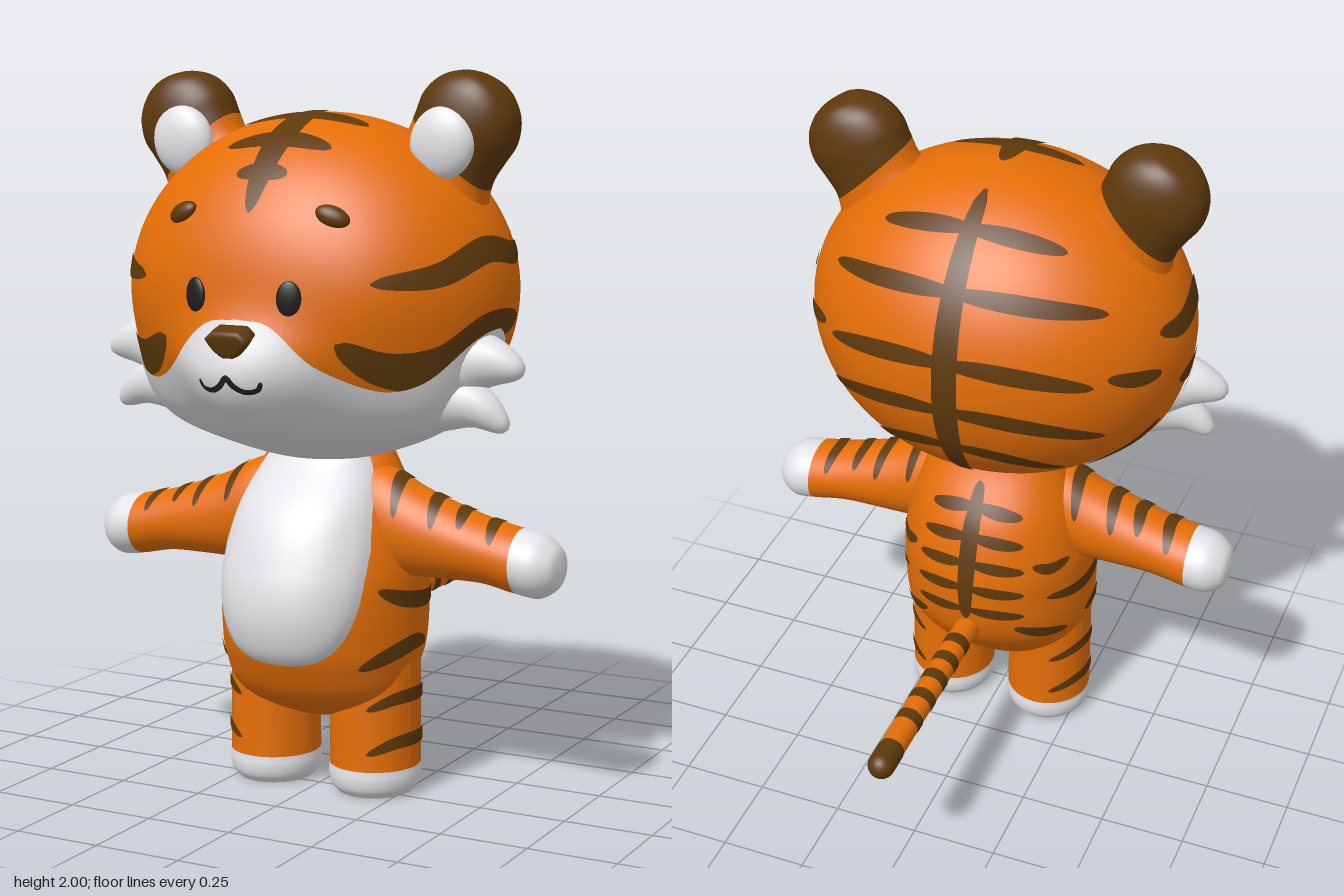
import * as THREE from 'three';
import { mergeVertices } from 'three/addons/utils/BufferGeometryUtils.js';

const V = (x, y, z) => new THREE.Vector3(x, y, z);
const { sin, cos, abs, sqrt, PI } = Math;
const bend = (u, k) => Math.sign(u) * Math.pow(abs(u), k);
const bump = (u, centre, width) => Math.exp(-(((u - centre) / width) ** 2));

// Smooth interpolation of rows [v, a, b, ...]; returns [a, b, ...] at v
function sample(rows, v) {
  const n = rows.length - 1;
  v = Math.min(Math.max(v, rows[0][0]), rows[n][0]);
  let i = 0;
  while (i < n - 1 && v > rows[i + 1][0]) i++;
  const p = rows[i], q = rows[i + 1], h = q[0] - p[0], t = (v - p[0]) / h;
  const slope = (k, c) => {
    const l = rows[Math.max(k - 1, 0)], r = rows[Math.min(k + 1, n)];
    return (r[c] - l[c]) / (r[0] - l[0]);
  };
  return p.slice(1).map((_, k) => {
    const c = k + 1, t2 = t * t, t3 = t2 * t;
    return (2 * t3 - 3 * t2 + 1) * p[c] + (t3 - 2 * t2 + t) * h * slope(i, c)
      + (3 * t2 - 2 * t3) * q[c] + (t3 - t2) * h * slope(i + 1, c);
  });
}

function smooth(g) {
  g.deleteAttribute('uv');
  g.deleteAttribute('normal');
  g = mergeVertices(g, 1e-5);
  g.computeVertexNormals();
  return g;
}

// Grid surface from P(a, v)
function skin(P, a0, a1, v0, v1, na = 48, nv = 32) {
  const pos = [], idx = [];
  for (let j = 0; j <= nv; j++) for (let i = 0; i <= na; i++)
    pos.push(...P(a0 + (a1 - a0) * i / na, v0 + (v1 - v0) * j / nv).toArray());
  for (let j = 0; j < nv; j++) for (let i = 0; i < na; i++) {
    const a = j * (na + 1) + i, b = a + 1, c = a + na + 1, d = c + 1;
    idx.push(a, b, c, b, d, c);
  }
  const g = new THREE.BufferGeometry();
  g.setAttribute('position', new THREE.Float32BufferAttribute(pos, 3));
  g.setIndex(idx);
  return smooth(g);
}

// Tapered painted stripe hugging a surface given by proj(point, offset)
function ribbon(proj, pts, half, power = 0.42, off = 0.004) {
  const curve = new THREE.CatmullRomCurve3(pts.map(p => proj(p, 0)));
  return skin((w, t) => {
    const p = curve.getPoint(t), T = curve.getTangent(t);
    const N = proj(p, 0.1).sub(proj(p, 0)).normalize();
    const k = half * Math.pow(Math.max(sin(PI * t), 0.002), power);
    return proj(p.addScaledVector(T.cross(N).normalize(), w * k), off);
  }, -1, 1, 0, 1, 4, 30);
}

// Tuft along a curve, flared at the root and rounded at the tip
function tuft(pts, R) {
  const c = new THREE.CatmullRomCurve3(pts), n = 28, m = 20;
  const g = new THREE.TubeGeometry(c, n, 1, m), pos = g.attributes.position;
  for (let k = 0; k < pos.count; k++) {
    const t = Math.floor(k / (m + 1)) / n, o = c.getPointAt(t);
    const r = R * (0.38 + 0.62 * (1 - t) ** 1.5) * sqrt(1 - t ** 5);
    const p = V().fromBufferAttribute(pos, k).sub(o).multiplyScalar(r).add(o);
    pos.setXYZ(k, p.x, p.y, p.z);
  }
  return smooth(g);
}

function mirrored(geo) {
  const g = geo.clone().scale(-1, 1, 1), ix = g.index.array;
  for (let i = 0; i < ix.length; i += 3) [ix[i], ix[i + 1]] = [ix[i + 1], ix[i]];
  return g;
}

const ball = (rx, ry, rz) => new THREE.SphereGeometry(1, 32, 20).scale(rx, ry, rz);

// Head: an ellipsoid with a muzzle bulge, fuller jaw, cheeks and temples
const C = V(0, 1.41, 0.215), HR = V(0.555, 0.475, 0.455);
function headProj(p, off = 0) {
  const d = p.clone().sub(C).normalize();
  const phi = abs(Math.atan2(d.x, d.z)), th = Math.asin(d.y);
  const bulge = 0.1 * bump(phi, 0, 0.42) * bump(th, -0.4, th > -0.4 ? 0.23 : 0.36)
    + 0.02 * Math.max(0, cos(phi)) * bump(th, -0.8, 0.3)
    + 0.04 * bump(phi, 1.2, 0.45) * bump(th, -0.62, 0.28)
    + 0.012 * bump(phi, 0.75, 0.35) * bump(th, 0, 0.4);
  return d.clone().multiplyScalar(1 / d.clone().divide(HR).length() + bulge + off).add(C);
}
const solve = (u, v) => sqrt(Math.max(0, 1 - u * u - v * v));
const hy = y => (y - C.y) / HR.y, hz = z => (z - C.z) / HR.z;
const headSide = ([z, y]) => V(HR.x * solve(hz(z), hy(y)), y, z);
const headBack = (x, y) => V(x, y, C.z - HR.z * solve(x / HR.x, hy(y)));
const headTop = (x, z) => V(x, C.y + HR.y * solve(x / HR.x, hz(z)), z);
function headFace(x, y) {
  const p = V(x, y, 0.7);
  for (let i = 0; i < 12; i++) p.z = headProj(p).z;
  return p;
}

// Body rows: height, back z, front z, half width
const bodyRows = [[0.2, 0.17, 0.25, 0], [0.22, 0.12, 0.32, 0.13], [0.28, 0.05, 0.42, 0.24], [0.38, -0.04, 0.48, 0.283],
  [0.45, -0.075, 0.5, 0.29], [0.55, -0.09, 0.51, 0.29], [0.65, -0.085, 0.49, 0.288], [0.8, -0.04, 0.42, 0.255],
  [0.93, 0.045, 0.3, 0.2], [1, 0.08, 0.26, 0.165]];
const bodyDims = y => { const [b, f, rx] = sample(bodyRows, y); return [(b + f) / 2, rx, (f - b) / 2]; };
const bodyAt = (a, y, off = 0) => {
  const [cz, rx, rz] = bodyDims(y);
  return V((rx + off) * sin(a), y, cz + (rz + off) * cos(a));
};
const bodyProj = (p, off) => {
  const [cz, rx, rz] = bodyDims(p.y);
  return bodyAt(Math.atan2(p.x / rx, (p.z - cz) / rz), p.y, off);
};

// Arm rows: x, centre y, half height, half depth
const armRows = [[0.1, 0.785, 0.14, 0.1], [0.2, 0.768, 0.15, 0.108], [0.3, 0.745, 0.125, 0.108], [0.4, 0.727, 0.105, 0.104],
  [0.5, 0.71, 0.09, 0.1], [0.6, 0.69, 0.089, 0.1], [0.66, 0.682, 0.087, 0.095], [0.7, 0.68, 0.062, 0.068],
  [0.714, 0.68, 0.038, 0.042], [0.72, 0.68, 0, 0]];
const armAt = (a, x, off = 0) => {
  const [cy, ry, rz] = sample(armRows, x);
  return V(x, cy + (ry + off) * cos(a), 0.21 + (rz + off) * sin(a));
};
const armProj = (p, off) => {
  const [cy, ry, rz] = sample(armRows, p.x);
  return armAt(Math.atan2((p.z - 0.21) / rz, (p.y - cy) / ry), p.x, off);
};

const legRows = [[0, 0.105], [0.02, 0.122], [0.05, 0.129], [0.08, 0.127], [0.2, 0.126], [0.45, 0.125]];
const legAt = (a, y, off = 0) => {
  const r = sample(legRows, y)[0] + off;
  return V(0.16 + r * sin(a), y, 0.215 + r * 1.05 * cos(a));
};
const legProj = (p, off) => legAt(Math.atan2(p.x - 0.16, (p.z - 0.215) / 1.05), p.y, off);

// Ear rows: distance along the leaning axis, radius
const earRows = [[-0.02, 0.2], [0.04, 0.155], [0.1, 0.136], [0.16, 0.14], [0.22, 0.145], [0.28, 0.122], [0.32, 0.078], [0.335, 0.04], [0.34, 0]];
const earAt = (a, s) => {
  const r = Math.max(0, sample(earRows, s)[0]), x = r * sin(a), depth = 0.337 * Math.pow(r, 0.6);
  return V(0.33 + 0.5 * s + 0.866 * x, 1.68 + 0.866 * s - 0.5 * x, 0.21 + depth * bend(cos(a), 0.85));
};
const earCut = a => 0.115 - 0.035 * sin(a);

export function createModel() {
  const root = new THREE.Group();
  const mat = (name, color) => Object.assign(new THREE.MeshStandardMaterial({ color }), { name });
  const orange = mat('orange fur', 0xe56e06), brown = mat('brown fur', 0x5e390b);
  const white = mat('white fur', 0xe4e4e8), dark = mat('dark features', 0x1e1e20);
  const add = (name, geo, m) => {
    const mesh = new THREE.Mesh(geo, m);
    mesh.name = name;
    root.add(mesh);
  };
  const pair = (name, geo, m) => {
    add(name + 'Left', geo, m);
    add(name + 'Right', mirrored(geo), m);
  };
  const TAU = 2 * PI;

  // Head and white mask
  const head = new THREE.SphereGeometry(0.5, 96, 64).translate(C.x, C.y, C.z), hp = head.attributes.position;
  for (let i = 0; i < hp.count; i++) hp.setXYZ(i, ...headProj(V().fromBufferAttribute(hp, i)).toArray());
  add('head', smooth(head), orange);
  const maskTop = [[0, -0.11], [0.2, -0.14], [0.46, -0.35], [0.78, -0.47], [1.03, -0.42], [1.31, -0.21], [1.5, -0.16], [1.58, -0.22]];
  add('muzzleMask', skin((phi, t) => {
    const th = -PI / 2 + (sample(maskTop, abs(phi))[0] + PI / 2) * t;
    return headProj(V(sin(phi) * cos(th), sin(th), cos(phi) * cos(th)).add(C), 0.007);
  }, -1.58, 1.58, 0, 1, 80, 40), white);
  pair('upperCheekTuft', tuft([V(0.42, 1.225, 0.29), V(0.54, 1.235, 0.3), V(0.645, 1.215, 0.31)], 0.125), white);
  pair('lowerCheekTuft', tuft([V(0.38, 1.14, 0.3), V(0.52, 1.115, 0.32), V(0.605, 1.06, 0.32)], 0.11), white);

  // Face
  const eye = headFace(0.14, 1.412);
  pair('eye', ball(0.034, 0.047, 0.012).rotateY(0.28).translate(eye.x, eye.y, eye.z), dark);
  const brow = headFace(0.225, 1.622);
  pair('brow', ball(0.048, 0.028, 0.022).rotateZ(-0.4).rotateX(-0.4).rotateY(0.4).translate(brow.x, brow.y, brow.z), brown);
  const tri = new THREE.Shape();
  tri.moveTo(-0.035, 0.022).lineTo(-0.047, 0.012).quadraticCurveTo(-0.035, -0.012, -0.012, -0.026);
  tri.lineTo(0.012, -0.026).quadraticCurveTo(0.035, -0.012, 0.047, 0.012).lineTo(0.035, 0.022);
  const nose = new THREE.ExtrudeGeometry(tri, { depth: 0.04, bevelSize: 0.014, bevelThickness: 0.014, bevelSegments: 5, curveSegments: 8 });
  add('nose', smooth(nose.translate(0, 0, -0.02).rotateX(0.3).translate(0, 1.302, 0.715)), brown);
  const lip = [[-0.09, 1.205], [-0.08, 1.185], [-0.05, 1.178], [-0.02, 1.192], [0, 1.213], [0.02, 1.192], [0.05, 1.178], [0.08, 1.185], [0.09, 1.205]];
  add('mouth', ribbon(headProj, lip.map(p => headFace(...p)), 0.008, 0.15, 0.01), dark);

  // Ears, with a slanted colour border
  pair('earBase', skin((a, t) => earAt(a, -0.02 + (earCut(a) + 0.02) * t), 0, TAU, 0, 1, 48, 12), orange);
  pair('ear', skin((a, t) => earAt(a, earCut(a) + (0.34 - earCut(a)) * t), 0, TAU, 0, 1, 48, 30), brown);
  pair('innerEar', ball(0.092, 0.098, 0.045).rotateZ(-0.3).translate(0.4, 1.805, 0.3), white);

  // Head stripes: forehead, back ridge with ribs, sides
  add('foreheadStripe', ribbon(headProj, [0.19, 0.3, 0.42, 0.52, 0.62].map(z => headTop(0, z)), 0.042), brown);
  for (const [z, x, w] of [[0.31, 0.19, 0.038], [0.455, 0.155, 0.035], [0.55, 0.075, 0.03]])
    add('foreheadBar', ribbon(headProj, [-x, -x / 2, 0, x / 2, x].map(u => headTop(u, z + 0.03 * abs(u))), w), brown);
  add('headRidge', ribbon(headProj, [1.86, 1.7, 1.5, 1.3, 1.15, 1.02].map(y => headBack(0, y)), 0.036, 0.3), brown);
  for (const [y, x, drop] of [[1.8, 0.26, 0.04], [1.67, 0.39, 0.05], [1.49, 0.38, 0.06], [1.34, 0.4, 0.09], [1.2, 0.28, 0.1]])
    pair('headRib', ribbon(headProj, [-0.04, 0.3, 0.65, 1].map(t => headBack(x * t, y - drop * t * t)), 0.027), brown);
  for (const [w, pts] of [
    [0.036, [[0.58, 1.45], [0.46, 1.47], [0.3, 1.53], [0.15, 1.515], [0.06, 1.53]]],
    [0.056, [[0.61, 1.3], [0.53, 1.235], [0.43, 1.24], [0.31, 1.32], [0.14, 1.345]]],
    [0.024, [[0.05, 1.415], [-0.02, 1.425], [-0.09, 1.45]]],
    [0.03, [[0.12, 1.22], [0.08, 1.13], [0.02, 1.08]]]])
    pair('headSideStripe', ribbon(headProj, pts.map(headSide), w), brown);

  // Body, belly and body stripes
  add('body', skin(bodyAt, 0, TAU, 0.2, 1, 72, 56), orange);
  add('belly', skin((t, v) => {
    const r = 1 - v, yn = r * bend(sin(t), 0.7), y = 0.71 + 0.32 * yn;
    const x = 0.224 * r * bend(cos(t), 0.7) * (1 - 0.2 * Math.max(0, yn));
    const [cz, rx, rz] = bodyDims(y), k = Math.min(0.98, abs(x) / rx);
    return V(x, y, cz + rz * sqrt(1 - k * k) + 0.046 * sqrt(Math.max(0, 1 - r ** 6)) - 0.006);
  }, 0, TAU, 0, 1, 64, 24), white);
  add('backRidge', ribbon(bodyProj, [0.92, 0.8, 0.65, 0.5].map(y => bodyAt(PI, y)), 0.026, 0.3), brown);
  for (const y of [0.86, 0.78, 0.7, 0.62, 0.54])
    pair('backRib', ribbon(bodyProj, [0.02, 0.3, 0.6].map(a => bodyAt(PI - a, y - 0.04 * a)), 0.018), brown);
  for (const [w, pts] of [
    [0.024, [[1, 0.6], [1.3, 0.57], [1.8, 0.55], [2.3, 0.57]]],
    [0.024, [[0.8, 0.385], [1.1, 0.415], [1.5, 0.44], [1.75, 0.43]]],
    [0.02, [[2.05, 0.41], [2.35, 0.43], [2.65, 0.47]]],
    [0.018, [[2.0, 0.68], [2.25, 0.67], [2.45, 0.69]]]])
    pair('bodyStripe', ribbon(bodyProj, pts.map(p => bodyAt(...p)), w), brown);

  // Arms, hands and arm stripes
  pair('arm', skin(armAt, 0, TAU, 0.1, 0.6, 48, 28), orange);
  pair('hand', skin(armAt, 0, TAU, 0.6, 0.72, 48, 36), white);
  for (const [x, a] of [[0.25, 1.25], [0.36, 1.2], [0.44, 0.95], [0.53, 1.1]])
    pair('armStripe', ribbon(armProj, [-a, -a / 2, 0, a / 2, a].map(b => armAt(b, x + 0.012 * abs(b))), 0.018), brown);

  // Legs, feet and leg stripes
  pair('leg', skin(legAt, 0, TAU, 0.08, 0.45, 48, 16), orange);
  pair('foot', skin(legAt, 0, TAU, 0, 0.08, 48, 14), white);
  pair('sole', new THREE.CircleGeometry(0.105, 48).rotateX(PI / 2).scale(1, 1, 1.05).translate(0.16, 0, 0.215), white);
  for (const y of [0.15, 0.275])
    pair('legStripe', ribbon(legProj, [[0.3, -0.02], [0.9, 0.01], [1.5, 0.015], [2.1, 0.01], [2.8, -0.02]]
      .map(([a, d]) => legAt(a, y + d)), 0.02), brown);

  // Ringed tail
  const tube = (r, z0, z1) => new THREE.CylinderGeometry(r, r, z0 - z1, 24, 1, true).rotateX(PI / 2).translate(0, 0.455, (z0 + z1) / 2);
  add('tail', tube(0.037, 0, -0.67), orange);
  for (const z of [-0.175, -0.26, -0.345, -0.435, -0.53]) add('tailRing', tube(0.039, z + 0.02, z - 0.02), brown);
  add('tailTip', new THREE.CapsuleGeometry(0.039, 0.06, 10, 24).rotateX(PI / 2).translate(0, 0.455, -0.686), brown);
  return root;
}
